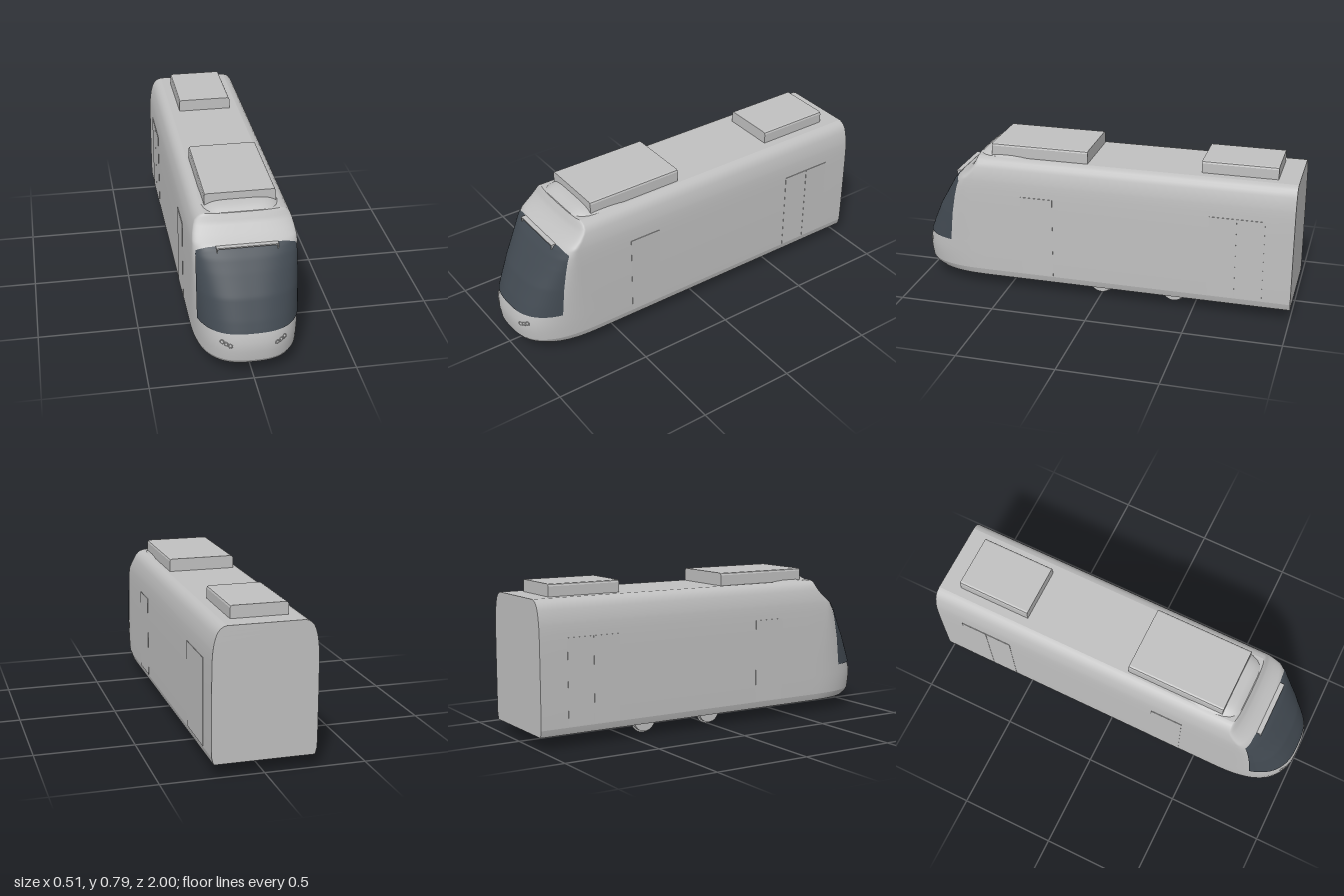
import * as THREE from 'three';

const mat = (name, color, side = THREE.FrontSide) => {
  const m = new THREE.MeshStandardMaterial({ color, side });
  m.name = name;
  return m;
};

// Body rows: height, half width, nose tip z, z where the nose curve starts
const ROWS = [
  [0.065, 0.245, 0.955, 0.59], [0.08, 0.25, 0.98, 0.6], [0.1, 0.255, 0.993, 0.61],
  [0.15, 0.256, 1.0, 0.625], [0.2, 0.256, 0.999, 0.635], [0.25, 0.256, 0.985, 0.64],
  [0.3, 0.256, 0.965, 0.65], [0.4, 0.256, 0.92, 0.675], [0.5, 0.255, 0.86, 0.7],
  [0.56, 0.254, 0.822, 0.71], [0.6, 0.251, 0.79, 0.71], [0.615, 0.249, 0.765, 0.7],
  [0.64, 0.245, 0.728, 0.68], [0.67, 0.237, 0.697, 0.66], [0.69, 0.229, 0.686, 0.65],
  [0.705, 0.217, 0.678, 0.65], [0.715, 0.203, 0.672, 0.65], [0.72, 0.185, 0.67, 0.65],
];
const POWER = 2.7;
const { lerp, clamp } = THREE.MathUtils;

// Body measurements at any height
function rowAt(y) {
  let i = 0;
  while (i < ROWS.length - 2 && ROWS[i + 1][0] < y) i++;
  const [a, b] = [ROWS[i], ROWS[i + 1]];
  const t = clamp((y - a[0]) / (b[0] - a[0]), 0, 1);
  return a.map((v, k) => lerp(v, b[k], t));
}

// Horizontal outline: right side, round nose, left side
function ring([y, w, f, zs], s) {
  if (s <= 0.2) return [-w, y, lerp(-1, zs, s / 0.2)];
  if (s >= 0.8) return [w, y, lerp(zs, -1, (s - 0.8) / 0.2)];
  const t = ((s - 0.5) / 0.6) * Math.PI;
  const sn = Math.sin(t), p = 2 / POWER;
  return [w * Math.sign(sn) * Math.abs(sn) ** p, y, zs + (f - zs) * Math.max(0, Math.cos(t)) ** p];
}

// Point on the nose at u (share of half width) and height y
function nose(u, y, off = 0) {
  const [, w, f, zs] = rowAt(y);
  return new THREE.Vector3(u * (w + off), y,
    zs + (f + off - zs) * (1 - Math.abs(u) ** POWER) ** (1 / POWER));
}

// Smooth surface from a rule over a grid
function grid(fn, nu, nv) {
  const pos = [], idx = [];
  for (let j = 0; j <= nv; j++) for (let i = 0; i <= nu; i++) pos.push(...fn(i / nu, j / nv, j));
  for (let j = 0; j < nv; j++) for (let i = 0; i < nu; i++) {
    const a = j * (nu + 1) + i, b = a + 1, c = a + nu + 1, d = c + 1;
    idx.push(a, b, d, a, d, c);
  }
  const g = new THREE.BufferGeometry();
  g.setAttribute('position', new THREE.Float32BufferAttribute(pos, 3));
  g.setIndex(idx);
  g.computeVertexNormals();
  return g;
}

export function createModel() {
  const model = new THREE.Group();
  model.name = 'tram';
  const body = mat('body grey', 0xc0c0c0);
  const shell = mat('shell grey', 0xc0c0c0, THREE.DoubleSide);
  shell.name = body.name;
  const glass = mat('dark glass', 0x424a52, THREE.DoubleSide);

  const add = (name, geo, material = body, parent = model) => {
    const m = new THREE.Mesh(geo, material);
    m.name = name;
    parent.add(m);
    return m;
  };
  const box = (name, sx, sy, sz, x, y, z, parent) => {
    const m = add(name, new THREE.BoxGeometry(sx, sy, sz), body, parent);
    m.position.set(x, y, z);
    return m;
  };

  // Body shell: skirt, walls, roof, floor and flat rear
  const last = ROWS.length - 1;
  add('skirt', grid((u, v, j) => ring(ROWS[j], u), 80, 2), shell);
  add('walls', grid((u, v, j) => ring(ROWS[j + 2], u), 80, last - 2), shell);
  const cap = (row, dir) => grid((u, v) => {
    const [x, y, z] = ring(row, u / 2);
    return [x * (1 - 2 * v) * dir, y, z];
  }, 40, 2);
  add('roof', cap(ROWS[last], 1), shell);
  add('floor', cap(ROWS[0], -1), shell);
  add('rearWall', grid((u, v, j) => [ROWS[j][1] * (1 - 2 * u), ROWS[j][0], -1], 2, last), shell);

  // Windscreen with rounded upper corners
  add('windscreen', grid((u, v) => {
    const k = 2 * u - 1;
    const y = lerp(0.247, 0.607 - 0.022 * Math.abs(k) ** 8, v);
    return nose(k * 0.94, y, 0.004).toArray();
  }, 60, 36), glass);

  // Bar along the top of the windscreen, with end brackets
  const bar = new THREE.Group();
  bar.name = 'windscreenBar';
  model.add(bar);
  box('barRail', 0.295, 0.006, 0.025, 0, 0.606, 0.789, bar);
  for (const s of [-1, 1]) box('barBracket', 0.004, 0.022, 0.022, s * 0.144, 0.594, 0.79, bar);

  // Headlights: three ringed lamps on each side
  for (const s of [-1, 1]) {
    for (const [x, y] of [[0.149, 0.2], [0.131, 0.192], [0.112, 0.185]]) {
      const u = (s * x) / 0.256, e = 0.01;
      const p = nose(u, y);
      const n = nose(u + e, y).sub(nose(u - e, y))
        .cross(nose(u, y + e).sub(nose(u, y - e))).normalize();
      const lamp = new THREE.Group();
      lamp.name = 'headlight';
      lamp.position.copy(p);
      lamp.lookAt(p.clone().add(n));
      add('lampRing', new THREE.TorusGeometry(0.0095, 0.0025, 8, 24), body, lamp);
      const lens = add('lampLens', new THREE.SphereGeometry(0.008, 16, 8), body, lamp);
      lens.scale.z = 0.4;
      model.add(lamp);
    }
  }

  // Doors: one leaf near the front, two near the rear
  for (const s of [-1, 1]) {
    for (const [z0, z1] of [[0.243, 0.414], [-0.714, -0.575], [-0.855, -0.716]]) {
      box('door', 0.008, 0.43, z1 - z0, s * 0.2532, 0.32, (z0 + z1) / 2);
    }
  }

  // Roof equipment boxes with bevelled top edges
  const roofBox = (name, w, y0, y1, z0, z1) => {
    const c = 0.012;
    const shape = new THREE.Shape([[-w, y0], [w, y0], [w, y1 - c], [w - c * 0.3, y1 - c * 0.3],
      [w - c, y1], [c - w, y1], [c * 0.3 - w, y1 - c * 0.3], [-w, y1 - c]]
      .map(([x, y]) => new THREE.Vector2(x, y)));
    const g = new THREE.ExtrudeGeometry(shape, { depth: z1 - z0, bevelEnabled: false });
    add(name, g.translate(0, 0, z0));
  };
  roofBox('frontRoofBox', 0.173, 0.718, 0.786, 0.075, 0.59);
  roofBox('rearRoofBox', 0.14, 0.718, 0.782, -0.895, -0.51);

  // Low fairing in front of the forward roof box: z, half width, height
  const fairing = [[0.37, 0.172, 0], [0.42, 0.186, 0.02], [0.48, 0.192, 0.028], [0.56, 0.188, 0.033],
    [0.6, 0.182, 0.031], [0.63, 0.17, 0.026], [0.652, 0.152, 0.016], [0.668, 0.13, 0]];
  add('roofFairing', grid((u, v, j) => {
    const [z, w, h] = fairing[j], k = 1 - 2 * u;
    return [k * w, 0.717 + h * (1 - Math.abs(k) ** 5), z];
  }, 32, fairing.length - 1), shell);

  // Wheel sets: axle, treads and inner flanges
  const disc = (name, r, len, x, parent) => {
    const g = new THREE.CylinderGeometry(r, r, len, 40).rotateZ(Math.PI / 2);
    add(name, g, body, parent).position.x = x;
  };
  for (const z of [0.003, -0.387]) {
    const set = new THREE.Group();
    set.name = 'wheelSet';
    set.position.set(0, 0.068, z);
    disc('axle', 0.011, 0.38, 0, set);
    for (const s of [-1, 1]) {
      disc('wheelTread', 0.06, 0.022, s * 0.164, set);
      disc('wheelFlange', 0.068, 0.006, s * 0.153, set);
    }
    model.add(set);
  }
  return model;
}
